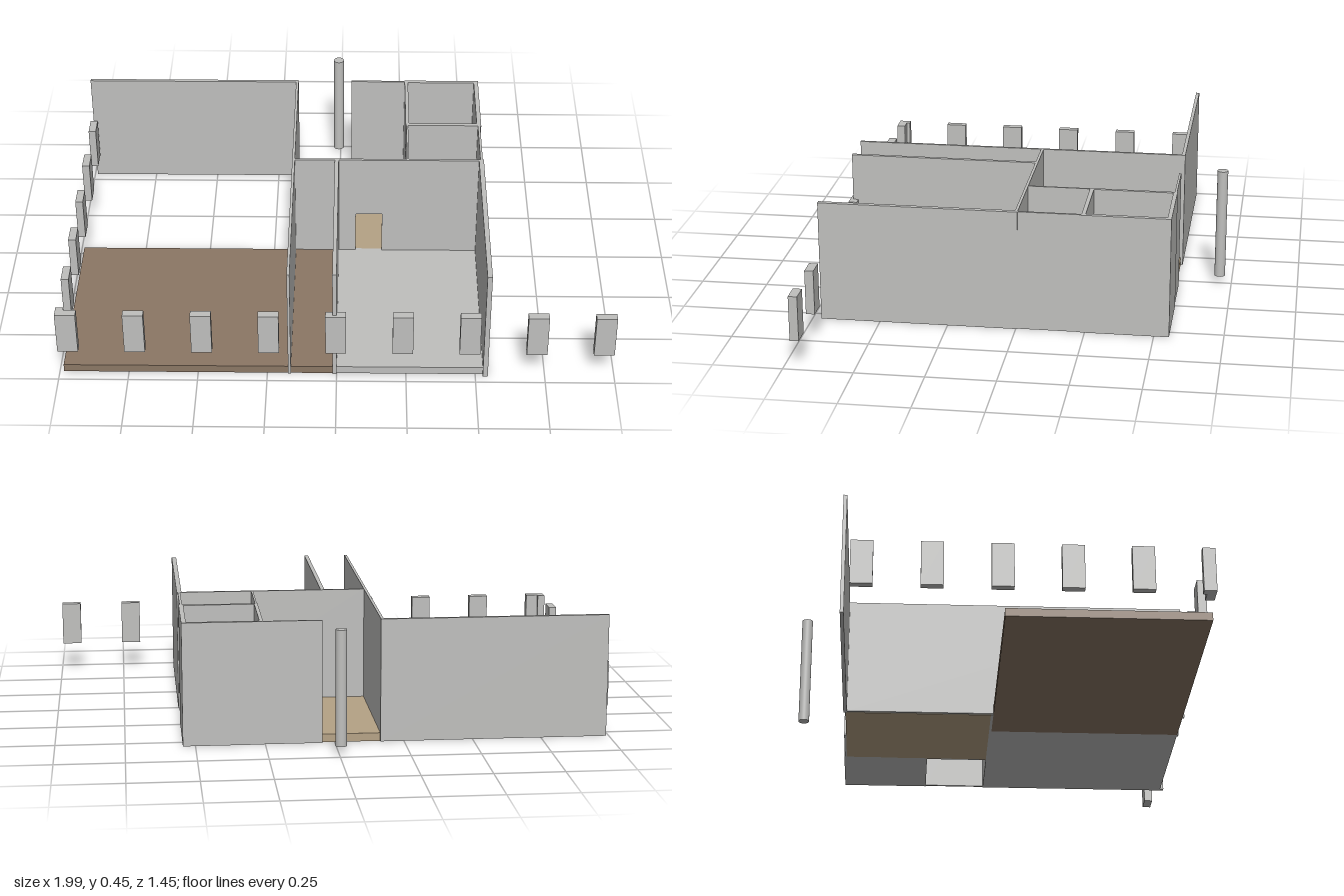
import * as THREE from 'three';

const mat = (name, color) => {
  const m = new THREE.MeshStandardMaterial({ color });
  m.name = name;
  return m;
};

export function createModel() {
  const plaster = mat('plaster grey', 0xbfbfbd);
  const brown = mat('brown deck', 0x8b7765);
  const tan = mat('tan floor', 0xb5a285);
  const model = new THREE.Group();
  model.name = 'floorPlan';
  const H = 0.45, F = 0.03; // wall height, floor thickness

  // Box given by its extents along each axis
  const block = (name, material, [x0, x1], [y0, y1], [z0, z1]) => {
    const mesh = new THREE.Mesh(new THREE.BoxGeometry(x1 - x0, y1 - y0, z1 - z0), material);
    mesh.position.set((x0 + x1) / 2, (y0 + y1) / 2, (z0 + z1) / 2);
    mesh.name = name;
    model.add(mesh);
  };
  const wall = (name, x, z, y0 = 0) => block(name, plaster, x, [y0, H], z);

  // Floors
  block('deckFloor', brown, [-0.985, -0.015], [0, F], [0.002, 0.705]);
  block('hallFloor', tan, [-0.165, 0.257], [0, F], [-0.545, -0.006]);
  block('roomFloor', plaster, [0, 0.527], [0, F], [0.003, 0.705]);
  block('closetFloor', plaster, [0.268, 0.528], [0, F], [-0.54, -0.25]);

  // Long walls running front to back
  wall('hallSideWall', [-0.175, -0.165], [-0.54, 0.712], 0.002);
  wall('roomInnerWall', [-0.015, 0], [0.003, 0.71]);
  wall('roomOuterWall', [0.527, 0.545], [0.003, 0.718]);

  // Back walls, leaving the entrance open
  wall('backWall', [-0.99, -0.165], [-0.553, -0.54]);
  wall('entranceWall', [0.045, 0.255], [-0.553, -0.545]);

  // Wall between room and hall, with a low doorway
  const face = new THREE.Shape([
    [-0.165, 0], [0.545, 0], [0.545, H], [-0.165, H],
  ].map(([x, y]) => new THREE.Vector2(x, y)));
  face.holes.push(new THREE.Path([
    [0.065, F], [0.065, 0.2], [0.165, 0.2], [0.165, F],
  ].map(([x, y]) => new THREE.Vector2(x, y))));
  const doorWall = new THREE.Mesh(
    new THREE.ExtrudeGeometry(face, { depth: 0.01, bevelEnabled: false }), plaster);
  doorWall.position.z = -0.007;
  doorWall.name = 'doorwayWall';
  model.add(doorWall);

  // Closet in the back corner
  wall('closetBackWall', [0.255, 0.545], [-0.555, -0.54]);
  wall('closetFrontWall', [0.255, 0.545], [-0.25, -0.235]);
  wall('closetInnerWall', [0.255, 0.268], [-0.54, -0.25]);
  wall('closetOuterWall', [0.528, 0.545], [-0.54, -0.25]);

  // Open shaft between closet and room
  wall('shaftInnerWall', [0.257, 0.264], [-0.235, -0.007]);
  wall('shaftOuterWall', [0.532, 0.541], [-0.235, -0.007]);

  // Floating panels along the front and the side
  const panelY = [0.105, 0.27];
  for (let i = 0; i < 9; i++) {
    const x = -0.963 + i * 0.24;
    block('frontPanel', plaster, [x - 0.037, x + 0.037], panelY, [0.69, 0.722]);
  }
  for (let i = 0; i < 5; i++) {
    const z = -0.485 + i * 0.24;
    block('sidePanel', plaster, [-1, -0.972], panelY, [z - 0.039, z + 0.039]);
  }
  block('cornerPanel', plaster, [-1, -0.972], panelY, [0.677, 0.69]);

  // Round post outside the entrance
  const post = new THREE.Mesh(new THREE.CylinderGeometry(0.02, 0.02, H - F, 32), plaster);
  post.position.set(-0.007, (H + F) / 2, -0.705);
  post.name = 'entrancePost';
  model.add(post);

  return model;
}
